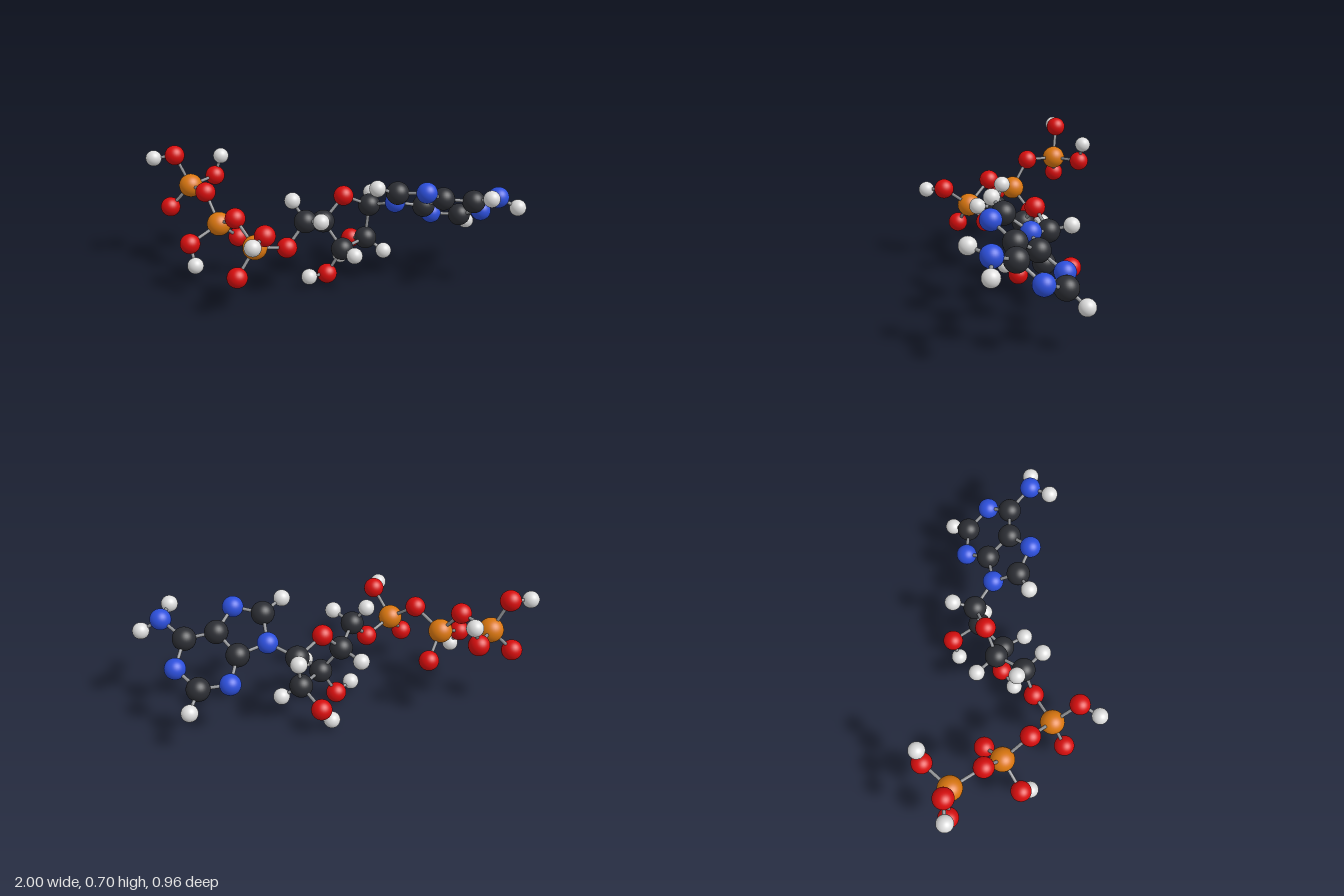
import * as THREE from 'three';

const paint = (name, color) => new THREE.MeshStandardMaterial({ name, color });

// Ball radius and colour for each element
const ELEMENTS = {
  C: { label: 'carbon', radius: 0.06, material: paint('charcoal', 0x2b2d33) },
  O: { label: 'oxygen', radius: 0.053, material: paint('red', 0xd60d0d) },
  N: { label: 'nitrogen', radius: 0.054, material: paint('blue', 0x2c4fdb) },
  P: { label: 'phosphorus', radius: 0.063, material: paint('orange', 0xd9760f) },
  H: { label: 'hydrogen', radius: 0.0425, material: paint('light grey', 0xdcdcdc) },
};
const BOND_MATERIAL = paint('mid grey', 0x8c8e92);
const BOND_RADIUS = 0.009;

// Each atom: x, y, z, then the earlier atoms it is bonded to.
// The first letter of the key is the element.
const PARTS = {
  phosphateChain: {
    P3: [-0.766, 0.481, -0.28],
    O31: [-0.846, 0.647, -0.294, 'P3'],
    H31: [-0.958, 0.634, -0.28, 'O31'],
    O32: [-0.886, 0.353, -0.289, 'P3'],
    O33: [-0.652, 0.493, -0.423, 'P3'],
    H33: [-0.617, 0.602, -0.439, 'O33'],
    O23: [-0.662, 0.497, -0.123, 'P3'],
    P2: [-0.586, 0.351, -0.038, 'O23'],
    O21: [-0.5, 0.238, -0.138, 'P2'],
    O22: [-0.727, 0.277, 0.06, 'P2'],
    H22: [-0.697, 0.174, 0.107, 'O22'],
    O12: [-0.483, 0.433, 0.096, 'P2'],
    P1: [-0.376, 0.32, 0.206, 'O12'],
    O11: [-0.462, 0.184, 0.275, 'P1'],
    O13: [-0.312, 0.436, 0.338, 'P1'],
    H13: [-0.362, 0.415, 0.44, 'O13'],
    O5: [-0.222, 0.278, 0.107, 'P1'],
  },
  sugarRing: {
    C5: [-0.128, 0.4, 0.05, 'O5'],
    H51: [-0.195, 0.502, -0.016 + 0.034, 'C5'],
    H52: [-0.045, 0.433, 0.144, 'C5'],
    C4: [-0.04, 0.347, -0.095, 'C5'],
    H4: [-0.125, 0.315, -0.194, 'C4'],
    O4: [0.067, 0.47, -0.153, 'C4'],
    C1: [0.206, 0.396, -0.218, 'O4'],
    H1: [0.217, 0.43, -0.333, 'C1'],
    C3: [0.062, 0.2, -0.067, 'C4'],
    H3: [0.126, 0.207, 0.046, 'C3'],
    O3: [-0.02, 0.055, -0.071, 'C3'],
    H03: [-0.113, 0.066, 0, 'O3'],
    C2: [0.187, 0.213, -0.2, 'C1', 'C3'],
    H2: [0.286, 0.145, -0.179, 'C2'],
    O2: [0.108, 0.154, -0.342, 'C2'],
    H02: [0.05, 0.06, -0.31, 'O2'],
  },
  doubleRing: {
    N9: [0.34, 0.443, -0.128, 'C1'],
    C8: [0.344, 0.54, 0.003, 'N9'],
    H8: [0.238, 0.583, 0.062, 'C8'],
    N7: [0.488, 0.561, 0.06, 'C8'],
    C15: [0.585, 0.49, -0.053, 'N7'],
    C14: [0.494, 0.412, -0.163, 'C15', 'N9'],
    N3: [0.547, 0.326, -0.285, 'C14'],
    C12: [0.703, 0.318, -0.284, 'N3'],
    H12: [0.755, 0.248, -0.375, 'C12'],
    N1: [0.803, 0.381, -0.179, 'C12'],
    C16: [0.745, 0.473, -0.059, 'N1', 'C15'],
    N6: [0.851, 0.535, 0.047, 'C16'],
    H61: [0.953, 0.48, 0.047, 'N6'],
    H62: [0.8, 0.562, 0.15, 'N6'],
  },
};

const UP = new THREE.Vector3(0, 1, 0);

// Thin rod between two atom centres
function makeBond(from, to) {
  const along = to.clone().sub(from);
  const rod = new THREE.Mesh(
    new THREE.CylinderGeometry(BOND_RADIUS, BOND_RADIUS, along.length(), 12, 1, true),
    BOND_MATERIAL
  );
  rod.name = 'bond';
  rod.position.copy(from).lerp(to, 0.5);
  rod.quaternion.setFromUnitVectors(UP, along.normalize());
  return rod;
}

export function createModel() {
  const model = new THREE.Group();
  model.name = 'moleculeModel';

  // One shared ball per element
  const balls = {};
  for (const key in ELEMENTS) {
    balls[key] = new THREE.SphereGeometry(ELEMENTS[key].radius, 32, 20);
  }

  const centres = {};
  for (const [partName, atoms] of Object.entries(PARTS)) {
    const part = new THREE.Group();
    part.name = partName;
    for (const [key, [x, y, z, ...neighbours]] of Object.entries(atoms)) {
      const element = ELEMENTS[key[0]];
      const atom = new THREE.Mesh(balls[key[0]], element.material);
      atom.name = element.label + 'Atom';
      atom.position.set(x, y, z);
      centres[key] = atom.position;
      part.add(atom);
      for (const other of neighbours) part.add(makeBond(centres[other], atom.position));
    }
    model.add(part);
  }
  return model;
}
